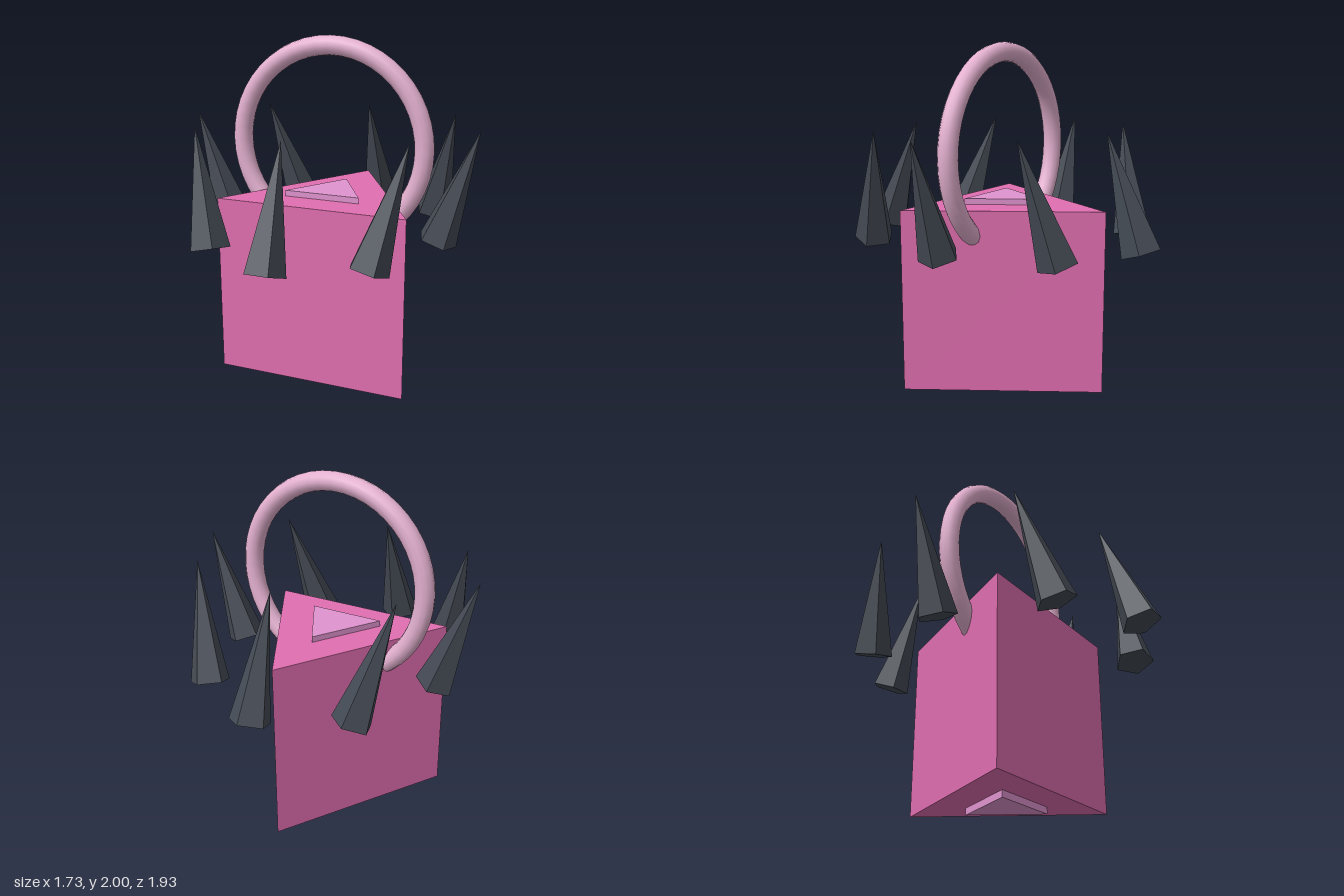
import * as THREE from 'three';

const pink = new THREE.MeshStandardMaterial({ color: 0xe06eb0 });
pink.name = 'pink';
const orchid = new THREE.MeshStandardMaterial({ color: 0xe094cf });
orchid.name = 'orchid';
const palePink = new THREE.MeshStandardMaterial({ color: 0xe3b0cf });
palePink.name = 'palePink';
const charcoal = new THREE.MeshStandardMaterial({ color: 0x444a54 });
charcoal.name = 'charcoal';

const CENTRE_Z = 0.006;

// Faceted prism or cone with one corner pointing to the back
function faceted(topRadius, bottomRadius, height, sides) {
  const g = new THREE.CylinderGeometry(topRadius, bottomRadius, height, sides, 1, false, Math.PI).toNonIndexed();
  g.computeVertexNormals();
  return g;
}

function addMesh(parent, name, geometry, material, x, y, z) {
  const mesh = new THREE.Mesh(geometry, material);
  mesh.name = name;
  mesh.position.set(x, y, z);
  parent.add(mesh);
  return mesh;
}

export function createModel() {
  const model = new THREE.Group();
  model.name = 'spikedPrism';

  // Triangular body
  addMesh(model, 'body', faceted(0.653, 0.653, 1.047, 3), pink, 0, 0.5625, CENTRE_Z);

  // Inner core showing as a raised plate on top and bottom
  addMesh(model, 'core', faceted(0.26, 0.26, 1.12, 3), orchid, 0, 0.56, CENTRE_Z + 0.003);

  // Ring handle, its lower part sunk into the body
  addMesh(model, 'ringHandle', new THREE.TorusGeometry(0.56, 0.056, 12, 48), palePink, 0, 1.384, CENTRE_Z);

  // Circle of eight floating spikes, leaning in at front and back and out at the sides
  const spikes = new THREE.Group();
  spikes.name = 'spikes';
  model.add(spikes);
  const spikeGeometry = faceted(0, 0.114, 0.68, 5);
  const lean = 0.33;
  for (let i = 0; i < 8; i++) {
    const angle = (i / 8) * Math.PI * 2;
    const s = Math.sin(angle);
    const c = Math.cos(angle);
    const spike = addMesh(spikes, `spike${i + 1}`, spikeGeometry, charcoal, 0.757 * s, 1.203, 0.757 * c + CENTRE_Z);
    spike.rotation.set(-lean * c, 0, -lean * s);
  }

  return model;
}
